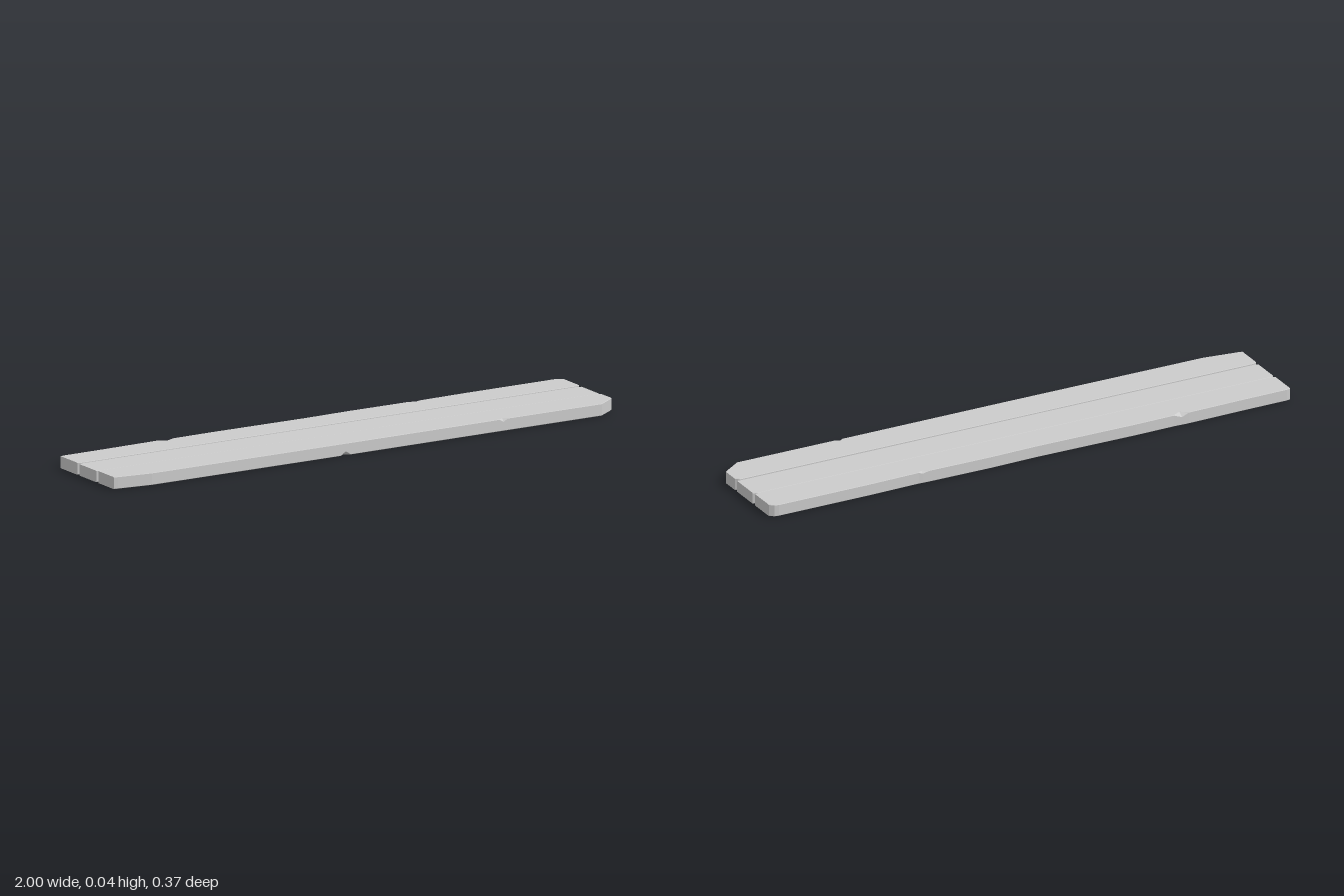
import * as THREE from 'three';

const HEIGHT = 0.042;
const EDGE = 0.0015; // worn edge bevel

const material = new THREE.MeshStandardMaterial({ color: 0xcccccc, flatShading: true });

// Cross-section (z, y) of a plank, counter-clockwise seen from +x.
// A chip is [depth, height] cut from one of the long edges.
function section({ x, z0, z1, backTop, backBottom, frontTop, frontBottom }, base, top) {
  const plain = [EDGE, EDGE];
  const [bt, bb, ft, fb] = [backTop, backBottom, frontTop, frontBottom].map((c) => c || plain);
  return [
    [z0 + bb[0], base], [z0, base + bb[1]], [z0, top - bt[1]], [z0 + bt[0], top],
    [z1 - ft[0], top], [z1, top - ft[1]], [z1, base + fb[1]], [z1 - fb[0], base],
  ].map(([z, y]) => new THREE.Vector3(x, y, z));
}

// Skin a list of stations along x into a closed, faceted plank
function plank(name, stations, base, top) {
  const rings = stations.map((s) => section(s, base, top));
  const points = [];
  const n = rings[0].length;
  for (let r = 0; r < rings.length - 1; r++) {
    const a = rings[r], b = rings[r + 1];
    for (let i = 0; i < n; i++) {
      const j = (i + 1) % n;
      points.push(a[i], a[j], b[j], a[i], b[j], b[i]);
    }
  }
  const first = rings[0], last = rings[rings.length - 1];
  for (let i = 1; i < n - 1; i++) {
    points.push(last[0], last[i], last[i + 1]);
    points.push(first[0], first[i + 1], first[i]);
  }
  const geometry = new THREE.BufferGeometry().setFromPoints(points);
  geometry.computeVertexNormals();
  const mesh = new THREE.Mesh(geometry, material);
  mesh.name = name;
  return mesh;
}

export function createModel() {
  const group = new THREE.Group();
  group.name = 'plankBoard';

  // Back plank: slightly wavy outer edge with two chips along its top
  const chip = [0.018, 0.013], nick = [0.01, 0.007];
  group.add(plank('backPlank', [
    { x: -1, z0: -0.178, z1: -0.071 },
    { x: -0.985, z0: -0.181, z1: -0.067 },
    { x: -0.82, z0: -0.182, z1: -0.067 },
    { x: -0.605, z0: -0.186, z1: -0.067 },
    { x: -0.58, z0: -0.185, z1: -0.067, backTop: chip },
    { x: -0.55, z0: -0.184, z1: -0.067 },
    { x: -0.4, z0: -0.186, z1: -0.067 },
    { x: -0.02, z0: -0.182, z1: -0.067 },
    { x: 0.15, z0: -0.186, z1: -0.067 },
    { x: 0.39, z0: -0.184, z1: -0.067 },
    { x: 0.415, z0: -0.183, z1: -0.067, backTop: nick },
    { x: 0.43, z0: -0.182, z1: -0.067 },
    { x: 0.62, z0: -0.186, z1: -0.067 },
    { x: 0.97, z0: -0.186, z1: -0.067 },
    { x: 0.985, z0: -0.183, z1: -0.067 },
    { x: 1, z0: -0.17, z1: -0.071 },
  ], 0, HEIGHT));

  // Middle plank: slightly lower, with clipped end corners
  group.add(plank('middlePlank', [
    { x: -1, z0: -0.056, z1: 0.05 },
    { x: -0.985, z0: -0.063, z1: 0.053 },
    { x: 0.985, z0: -0.063, z1: 0.055 },
    { x: 1, z0: -0.056, z1: 0.056 },
  ], 0, HEIGHT - 0.002));

  // Front plank: cut corners, one chip below and one above
  group.add(plank('frontPlank', [
    { x: -1, z0: 0.064, z1: 0.162 },
    { x: -0.985, z0: 0.058, z1: 0.165 },
    { x: -0.86, z0: 0.058, z1: 0.182 },
    { x: -0.4, z0: 0.058, z1: 0.184 },
    { x: -0.11, z0: 0.058, z1: 0.185 },
    { x: -0.09, z0: 0.058, z1: 0.185, frontBottom: [0.014, 0.014] },
    { x: -0.07, z0: 0.058, z1: 0.185 },
    { x: 0.525, z0: 0.06, z1: 0.184 },
    { x: 0.54, z0: 0.06, z1: 0.184, frontTop: [0.011, 0.011] },
    { x: 0.555, z0: 0.06, z1: 0.184 },
    { x: 0.93, z0: 0.06, z1: 0.185 },
    { x: 0.985, z0: 0.06, z1: 0.147 },
    { x: 1, z0: 0.071, z1: 0.135 },
  ], 0, HEIGHT));

  // Joints closing the narrow gaps between planks
  for (const [name, z] of [['backJoint', -0.065], ['frontJoint', 0.057]]) {
    const joint = new THREE.Mesh(new THREE.BoxGeometry(1.968, 0.03, 0.012), material);
    joint.position.set(0, 0.0205, z);
    joint.name = name;
    group.add(joint);
  }
  return group;
}
